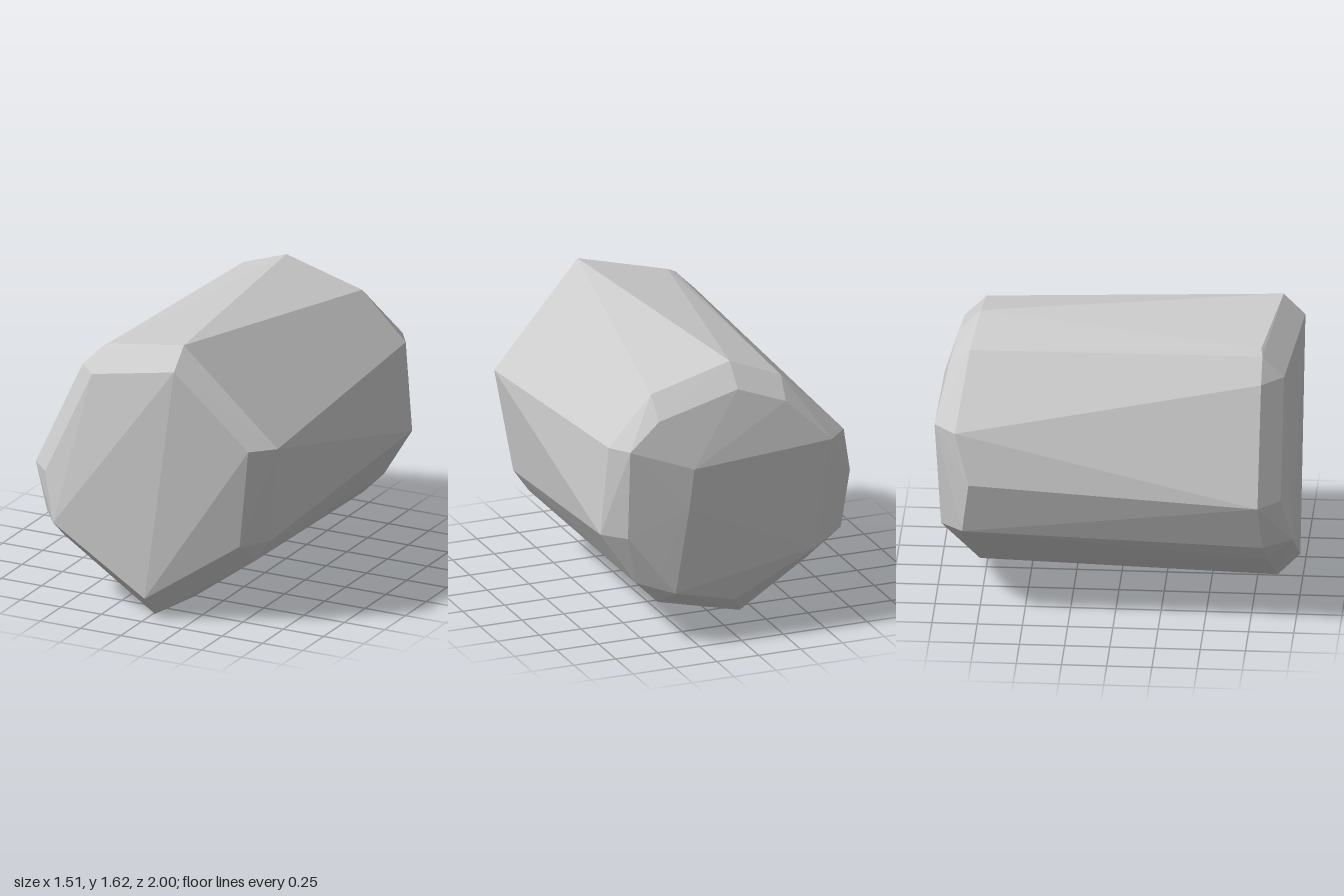
import * as THREE from 'three';
import { ConvexGeometry } from 'three/addons/geometries/ConvexGeometry.js';

// Rings of corner points [x, y, z], running from front to back
const frontFace = [
  [0.2, 1.5, 1], [0.615, 1.07, 0.91], [0.53, 0.48, 0.85], [0.01, 0.13, 0.985],
  [-0.56, 0.48, 0.98], [-0.64, 0.75, 0.92], [-0.35, 1.37, 0.92],
];
const frontRim = [
  [0.2, 1.62, 0.88], [0.735, 1.07, 0.79], [0.65, 0.49, 0.72], [0.56, 0.36, 0.71],
  [0.2, 0.1, 0.75], [0.01, 0, 0.86], [-0.56, 0.36, 0.84], [-0.68, 0.48, 0.82],
  [-0.76, 0.75, 0.8], [-0.47, 1.37, 0.8], [-0.35, 1.49, 0.8], [-0.3, 1.515, 0.79],
];
const backRim = [
  [-0.02, 1.57, -0.78], [0.45, 1.44, -0.78], [0.71, 1.17, -0.8], [0.755, 0.66, -0.79],
  [0.56, 0.36, -0.83], [0.43, 0.23, -0.83], [-0.08, 0.09, -0.78], [-0.45, 0.38, -0.86],
  [-0.66, 0.52, -0.84], [-0.73, 0.83, -0.8], [-0.66, 1.11, -0.88], [-0.31, 1.46, -0.82],
];
const backFace = [
  [-0.02, 1.445, -0.9], [0.45, 1.32, -0.9], [0.63, 1.17, -0.92], [0.64, 0.66, -0.91],
  [0.47, 0.44, -0.95], [0.38, 0.32, -0.97], [0, 0.21, -0.91], [-0.45, 0.47, -0.97],
  [-0.54, 1.11, -1], [-0.29, 1.35, -0.94], [0.31, 0.82, -1], [0.28, 1.05, -1],
];

export function createModel() {
  const group = new THREE.Group();
  group.name = 'facetedBlock';

  // One faceted, bevelled stone wrapped around all four rings
  const points = [frontFace, frontRim, backRim, backFace]
    .flat()
    .map((p) => new THREE.Vector3(...p));
  const stone = new THREE.Mesh(
    new ConvexGeometry(points),
    new THREE.MeshStandardMaterial({ color: 0xcccccc, flatShading: true })
  );
  stone.name = 'stone';
  group.add(stone);
  return group;
}
